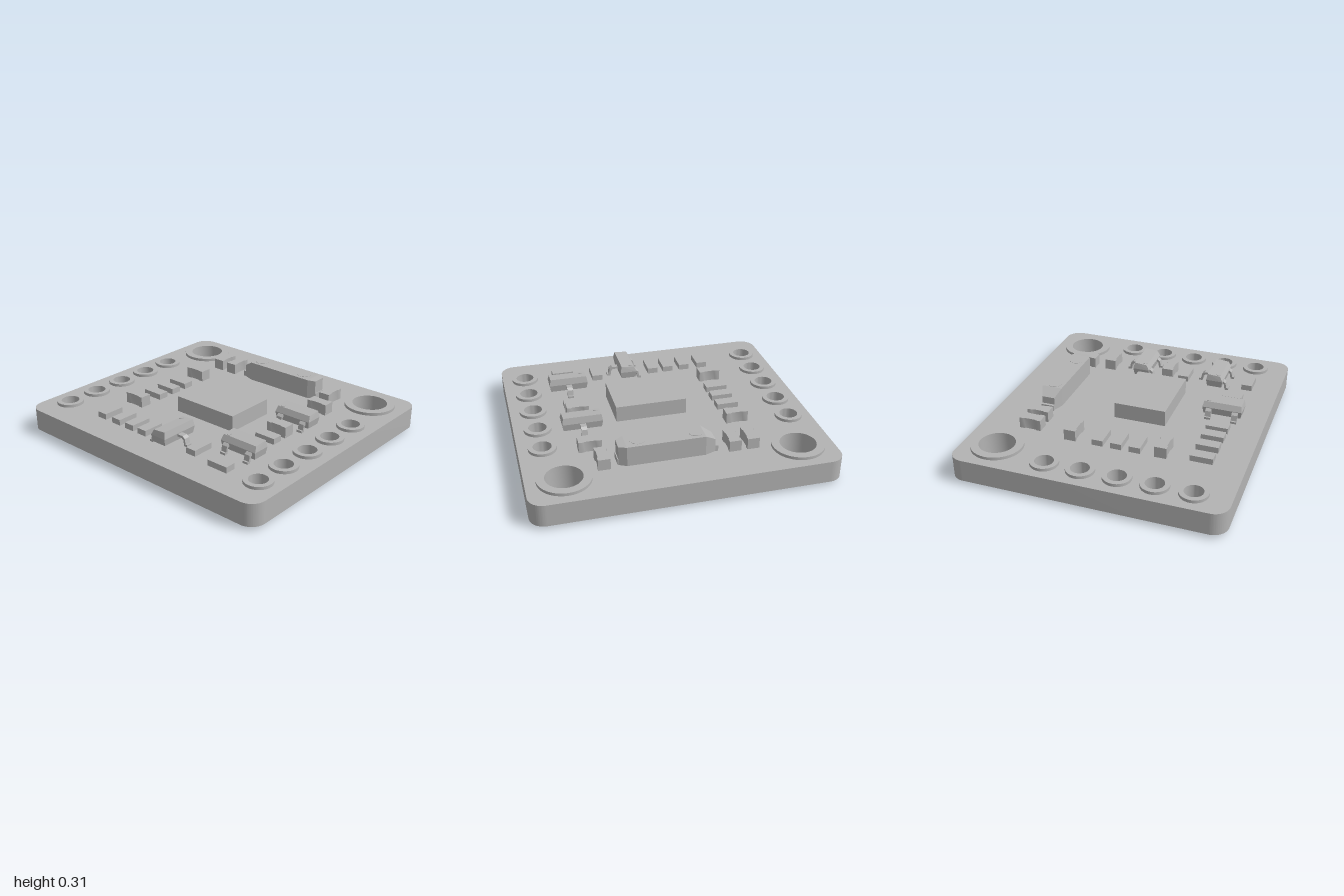
import * as THREE from 'three';
import { toCreasedNormals } from 'three/addons/utils/BufferGeometryUtils.js';
import { ConvexGeometry } from 'three/addons/geometries/ConvexGeometry.js';

const TOP = 0.175; // upper face of the board
const grey = new THREE.MeshStandardMaterial({ color: 0xb3b3b3 });
grey.name = 'grey';

function add(parent, name, geometry, x = 0, y = 0, z = 0) {
  const mesh = new THREE.Mesh(geometry, grey);
  mesh.name = name;
  mesh.position.set(x, y, z);
  parent.add(mesh);
  return mesh;
}

// Plan shape (x, -z) raised by a height
function slab(shape, height) {
  const g = new THREE.ExtrudeGeometry(shape, { depth: height, bevelEnabled: false, curveSegments: 20 });
  return toCreasedNormals(g.rotateX(-Math.PI / 2), 0.6);
}

function circlePath(x, z, r) {
  return new THREE.Path().absarc(x, -z, r, 0, Math.PI * 2, true);
}

const block = (w, h, d) => new THREE.BoxGeometry(w, h, d);

// Every hole: x, z, inner radius, outer radius
const holes = [[0.665, -0.763, 0.119, 0.173], [0.665, 0.757, 0.119, 0.173]];
for (const z of [-0.847, 0.84])
  for (let i = 0; i < 5; i++) holes.push([-0.665 + i * 0.2405, z, 0.061, 0.093]);

function boardGeometry() {
  const s = new THREE.Shape(), w = 0.9, d = 1, r = 0.1;
  s.absarc(w - r, d - r, r, 0, Math.PI / 2);
  s.absarc(-w + r, d - r, r, Math.PI / 2, Math.PI);
  s.absarc(-w + r, -d + r, r, Math.PI, Math.PI * 1.5);
  s.absarc(w - r, -d + r, r, Math.PI * 1.5, Math.PI * 2);
  s.closePath();
  for (const [x, z, inner] of holes) s.holes.push(circlePath(x, z, inner + 0.004));
  return slab(s, 0.15);
}

function ringGeometry(inner, outer) {
  const s = new THREE.Shape().absarc(0, 0, outer, 0, Math.PI * 2, false);
  s.holes.push(circlePath(0, 0, inner));
  return slab(s, 0.195);
}

// Small chip, long in x; capacitors are tall with a waisted middle
function chipGeometry(tall) {
  if (!tall) return block(0.15, 0.04, 0.075).translate(0, 0.02, 0);
  const a = 0.075, b = 0.04, e = 0.045, n = 0.034;
  const pts = [[-a, -b], [-e, -b], [-e + 0.01, -n], [e - 0.01, -n], [e, -b], [a, -b],
    [a, b], [e, b], [e - 0.01, n], [-e + 0.01, n], [-e, b], [-a, b]];
  return slab(new THREE.Shape(pts.map(p => new THREE.Vector2(...p))), 0.075);
}

// Bent lead running out along +z from the package
function leadGeometry(reach) {
  const k = reach - 0.045;
  const pts = [[-0.03, 0.05], [k, 0.05], [k + 0.012, 0.04], [k + 0.02, 0.0], [reach, 0.0],
    [reach, 0.015], [k + 0.032, 0.015], [k + 0.024, 0.052], [k + 0.006, 0.066], [-0.03, 0.066]];
  const g = new THREE.ExtrudeGeometry(new THREE.Shape(pts.map(p => new THREE.Vector2(...p))),
    { depth: 0.04, bevelEnabled: false });
  return g.translate(0, 0, -0.02).rotateY(-Math.PI / 2);
}

// Three-lead package, long in x, two leads on -z and one on +z
function transistor(x, z, turn) {
  const g = new THREE.Group();
  g.name = 'transistor';
  g.position.set(x, TOP, z);
  g.rotation.y = turn;
  const section = [[-0.052, 0.022], [-0.06, 0.07], [-0.04, 0.107],
    [0.051, 0.115], [0.06, 0.07], [0.052, 0.022]];
  const pts = [];
  for (const s of [-1, 1])
    for (const [pz, py] of section)
      pts.push(new THREE.Vector3(s * (py === 0.07 ? 0.136 : 0.128), py, pz));
  add(g, 'transistorBody', new ConvexGeometry(pts));
  add(g, 'pinMark', new THREE.CylinderGeometry(0.016, 0.016, 0.006, 20), 0.1, 0.109, -0.022)
    .rotation.x = -0.088;
  add(g, 'singleLead', leadGeometry(0.082), 0, 0, 0.058);
  for (const s of [-1, 1])
    add(g, 'pairedLead', leadGeometry(0.045), s * 0.09, 0, -0.054).rotation.y = Math.PI;
  return g;
}

// Long can with cut corners and one sloping end
function oscillator() {
  const g = new THREE.Group();
  g.name = 'oscillator';
  g.position.set(0.552, TOP, 0);
  const outline = [[0.045, 0.405, 0.13], [0.071, 0.355, 0.135], [0.071, -0.155, 0.135], [0.045, -0.225, 0.09]];
  const pts = [];
  for (const [x, z, h] of outline)
    for (const s of [-1, 1])
      pts.push(new THREE.Vector3(s * x, 0, z), new THREE.Vector3(s * x, h, z));
  add(g, 'oscillatorCan', new ConvexGeometry(pts));
  for (const z of [-0.105, 0.275])
    add(g, 'canDimple', new THREE.CylinderGeometry(0.048, 0.048, 0.006, 32), 0, 0.134, z);
  add(g, 'rearTerminal', block(0.09, 0.04, 0.04), 0, 0.02, -0.225);
  add(g, 'frontTerminal', block(0.09, 0.04, 0.03), 0, 0.02, 0.396);
  return g;
}

export function createModel() {
  const model = new THREE.Group();
  model.name = 'breakoutBoard';
  add(model, 'board', boardGeometry(), 0, 0.025, 0);
  for (const [x, z, inner, outer] of holes)
    add(model, inner > 0.1 ? 'mountingRing' : 'pinRing', ringGeometry(inner, outer), x, 0, z);

  // Main chip
  add(model, 'mainChip', block(0.358, 0.11, 0.489), -0.095, TOP + 0.055, 0.0645);

  // Small chips: x, z, tall, turned
  const chips = [
    [-0.617, -0.483, 0, 0], [-0.617, -0.346, 0, 0], [-0.617, -0.22, 0, 0], [-0.617, -0.103, 0, 0],
    [-0.607, 0.32, 0, 0], [0.554, -0.472, 1, 0], [0.554, -0.351, 1, 0], [0.554, 0.5, 1, 0],
    [-0.362, -0.478, 1, 1], [-0.19, -0.478, 0, 1], [-0.063, -0.478, 0, 1], [0.063, -0.478, 0, 1],
    [0.253, -0.478, 1, 1], [-0.675, 0.562, 0, 1], [-0.205, 0.548, 0, 1], [-0.084, 0.548, 1, 1],
    [0.364, 0.546, 1, 1],
  ];
  for (const [x, z, tall, turned] of chips)
    add(model, tall ? 'capacitor' : 'resistor', chipGeometry(tall), x, TOP, z)
      .rotation.y = turned * Math.PI / 2;

  model.add(transistor(-0.605, 0.098, 0), transistor(-0.452, 0.554, Math.PI / 2),
    transistor(0.1, 0.55, Math.PI / 2), oscillator());
  return model;
}
